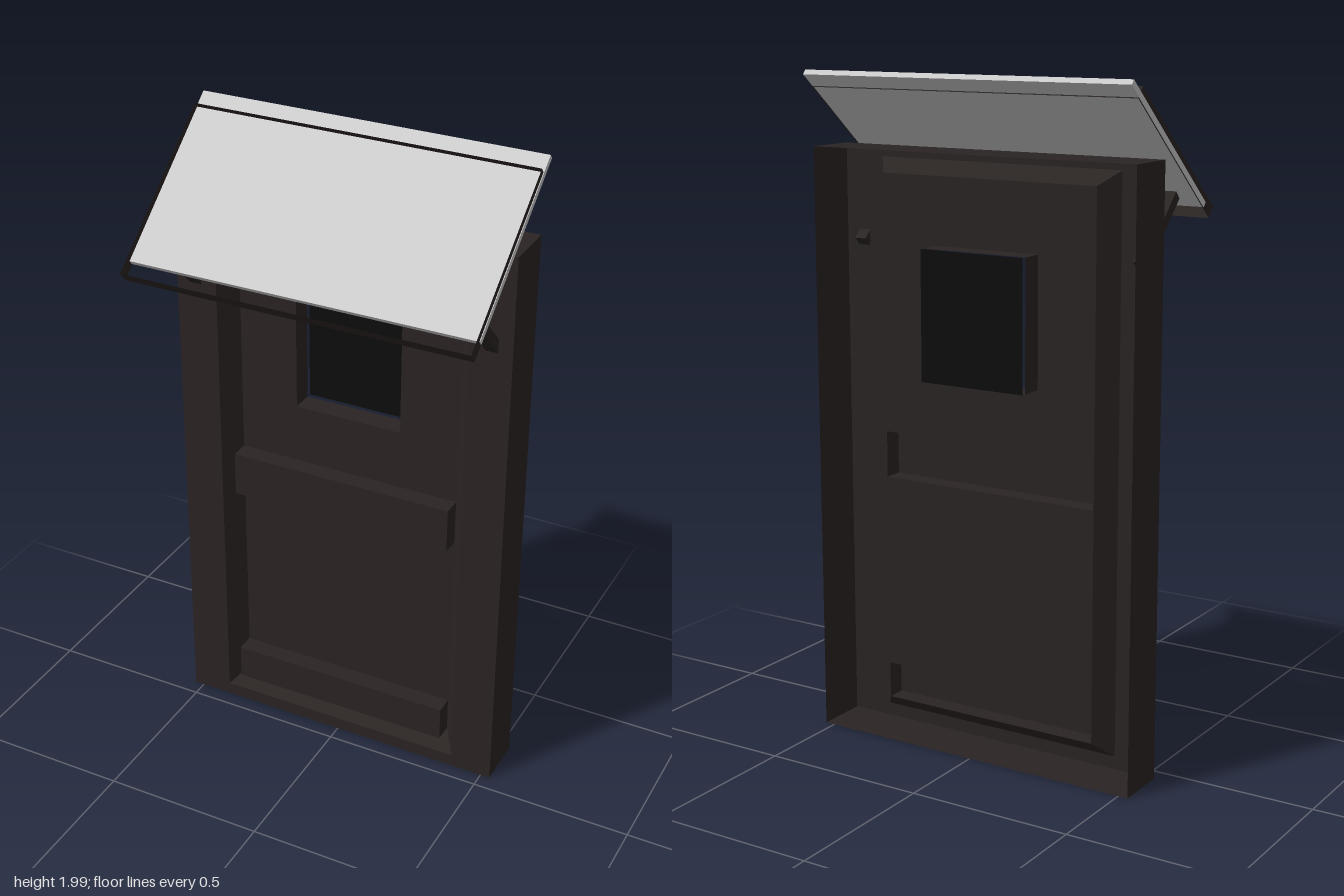
import * as THREE from 'three';

const wood = new THREE.MeshStandardMaterial({ color: 0x2a2423, side: THREE.DoubleSide, flatShading: true });
const dark = new THREE.MeshStandardMaterial({ color: 0x0d0d0d, side: THREE.DoubleSide });
const grey = new THREE.MeshStandardMaterial({ color: 0xcccccc });

// Rectangles are [x half width, bottom y, top y]
const corners = ([w, b, t]) => [[-w, b], [w, b], [w, t], [-w, t]];

function add(parent, name, geometry, material, x = 0, y = 0, z = 0) {
  const mesh = new THREE.Mesh(geometry, material);
  mesh.name = name;
  mesh.position.set(x, y, z);
  parent.add(mesh);
  return mesh;
}

// Flat sheet with rectangular holes
function sheet(rect, holes = []) {
  const toPoints = (r) => corners(r).map(([x, y]) => new THREE.Vector2(x, y));
  const shape = new THREE.Shape(toPoints(rect));
  holes.forEach((h) => shape.holes.push(new THREE.Path(toPoints(h).reverse())));
  return new THREE.ShapeGeometry(shape);
}

// Four thin walls joining a front rectangle to a back rectangle
function walls(front, zFront, back, zBack) {
  const f = corners(front), b = corners(back), pos = [];
  for (let i = 0; i < 4; i++) {
    const j = (i + 1) % 4;
    const q = [[...b[i], zBack], [...b[j], zBack], [...f[j], zFront], [...f[i], zFront]];
    for (const k of [0, 1, 2, 0, 2, 3]) pos.push(...q[k]);
  }
  const g = new THREE.BufferGeometry();
  g.setAttribute('position', new THREE.Float32BufferAttribute(pos, 3));
  g.computeVertexNormals();
  return g;
}

export function createModel() {
  const model = new THREE.Group();
  model.name = 'doorWithAwning';
  const zFront = -0.05, zDoor = -0.11, zBack = -0.21;

  // Hollow surround, open at the back, with a splayed reveal
  const outer = [0.53, 0, 1.775];
  const opening = [0.4, 0.04, 1.74];
  const door = [0.355, 0.09, 1.7];
  const surround = new THREE.Group();
  surround.name = 'surround';
  model.add(surround);
  add(surround, 'surroundFront', sheet(outer, [opening]), wood, 0, 0, zFront);
  add(surround, 'surroundSides', walls(outer, zFront, outer, zBack), wood);
  add(surround, 'doorReveal', walls(opening, zFront, door, zDoor), wood);

  // Door sheet with its window opening
  const windowRect = [0.17, 1.115, 1.5];
  const rails = { middleRail: [0.355, 0.79, 0.93], bottomRail: [0.355, 0.09, 0.2] };
  const panels = { lowerPanel: [0.355, 0.2, 0.79], upperPanel: [0.355, 0.93, 1.7] };
  for (const [name, rect] of Object.entries(panels)) {
    add(model, name, sheet(rect, name === 'upperPanel' ? [windowRect] : []), wood, 0, 0, zDoor);
  }

  // Raised rails, hollow from behind
  for (const [name, rect] of Object.entries(rails)) {
    add(model, name, sheet(rect), wood, 0, 0, zFront - 0.002);
    add(model, name + 'Edges', walls(rect, zFront - 0.002, rect, zDoor), wood);
  }

  // Window tunnel, with the pane set just behind it
  add(model, 'windowReveal', walls(windowRect, zDoor, windowRect, -0.178), wood);
  add(model, 'windowPane', sheet(windowRect), dark, 0, 0, -0.193);

  // Sloping awning: a panel inside a thin rim
  const awning = new THREE.Group();
  awning.name = 'awning';
  awning.position.set(0, 1.783, 0.0185);
  awning.rotation.x = THREE.MathUtils.degToRad(39.5);
  model.add(awning);
  const rimRect = [0.53, -0.278, 0.278];
  const rim = add(awning, 'awningRim', walls(rimRect, 0.02, rimRect, -0.02), wood);
  rim.rotation.x = -Math.PI / 2;
  add(awning, 'awningPanel', new THREE.BoxGeometry(1.064, 0.017, 0.56), grey, 0, -0.008, -0.052);

  // Diagonal struts, passing just through the surround
  for (const side of [-1, 1]) {
    const strut = add(model, side > 0 ? 'leftStrut' : 'rightStrut',
      new THREE.BoxGeometry(0.037, 0.03, 0.25), wood, side * 0.468, 1.575, 0.024);
    strut.rotation.x = -Math.PI / 4;
  }
  return model;
}
